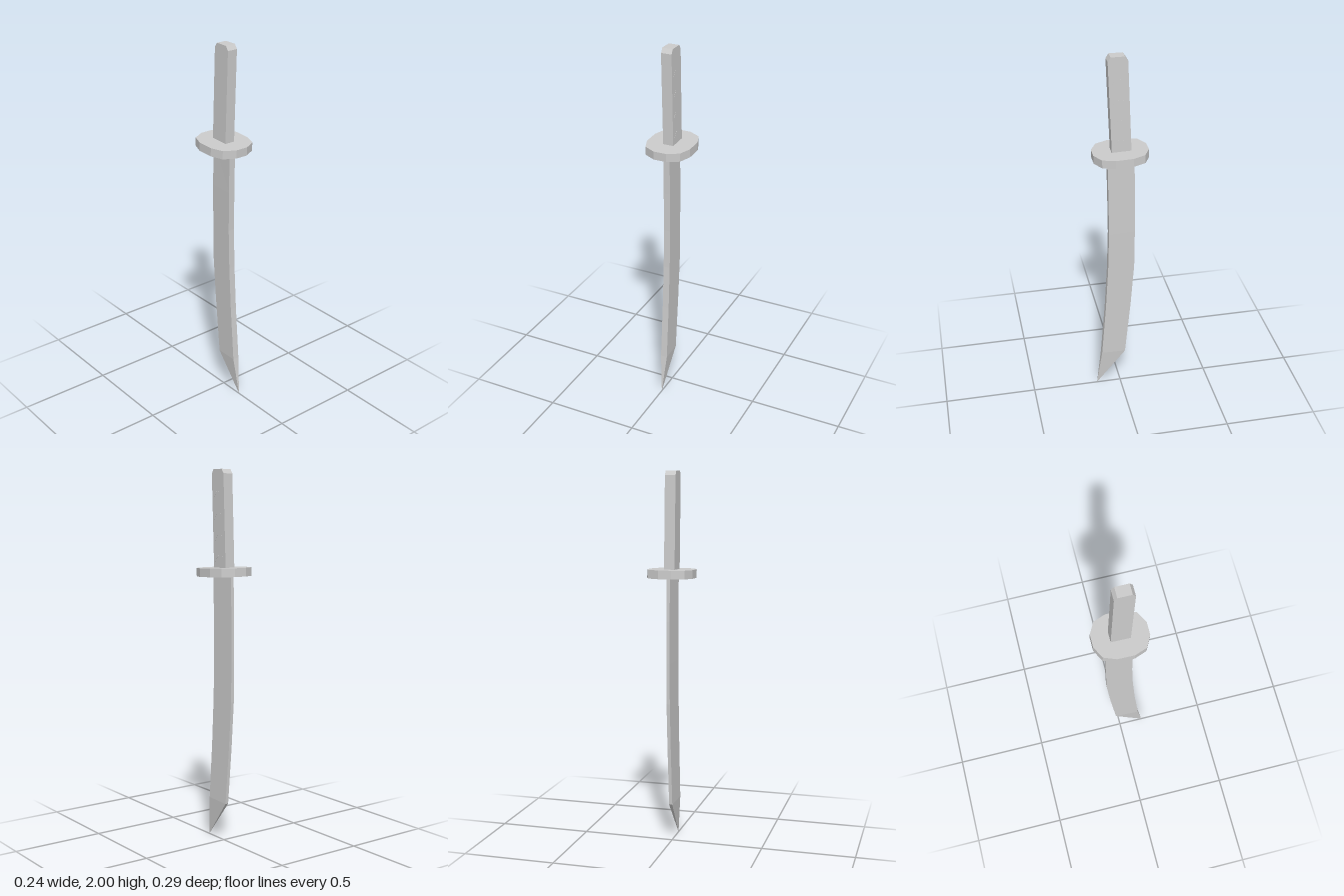
import * as THREE from 'three';

const material = new THREE.MeshStandardMaterial({ color: 0xcccccc, flatShading: true });

function part(name, geometry) {
  const mesh = new THREE.Mesh(geometry, material);
  mesh.name = name;
  return mesh;
}

// Extrude a side profile of [z, y] points across x, centred on x = 0
function sideExtrude(points, width) {
  const shape = new THREE.Shape(points.map(([z, y]) => new THREE.Vector2(z, y)));
  const geometry = new THREE.ExtrudeGeometry(shape, { depth: width, bevelEnabled: false });
  return geometry.translate(0, 0, -width / 2).rotateY(-Math.PI / 2);
}

// Loft four-cornered sections down the curved blade to a single point
function bladeGeometry() {
  const spine = 0.018, edge = 0.009; // half thickness at the front and the back
  // front z, front y, back z, back y
  const sections = [
    [0.069, 1.46, -0.073, 1.46],
    [0.065, 1.22, -0.079, 1.22],
    [0.063, 1.0, -0.079, 1.0],
    [0.069, 0.78, -0.077, 0.78],
    [0.083, 0.53, -0.058, 0.53],
    [0.107, 0.22, -0.027, 0.21],
  ];
  const rings = sections.map(([zf, yf, zb, yb]) => [
    [spine, yf, zf], [edge, yb, zb], [-edge, yb, zb], [-spine, yf, zf],
  ]);
  const tip = [0, 0, 0.136];
  const positions = [];
  const triangle = (...corners) => corners.forEach((c) => positions.push(...c));
  rings.forEach((ring, i) => {
    const next = rings[i + 1];
    for (let j = 0; j < 4; j++) {
      const k = (j + 1) % 4;
      if (next) {
        triangle(ring[j], next[j], next[k]);
        triangle(ring[j], next[k], ring[k]);
      } else {
        triangle(ring[j], tip, ring[k]);
      }
    }
  });
  const geometry = new THREE.BufferGeometry();
  geometry.setAttribute('position', new THREE.Float32BufferAttribute(positions, 3));
  geometry.computeVertexNormals();
  return geometry;
}

// Twelve-sided oval plate, mirrored from one quarter
function guardGeometry() {
  const q = [[0.122, 0.046], [0.097, 0.111], [0.035, 0.144]];
  const r = [...q].reverse();
  const outline = [
    ...q, ...r.map(([x, y]) => [-x, y]),
    ...q.map(([x, y]) => [-x, -y]), ...r.map(([x, y]) => [x, -y]),
  ];
  const shape = new THREE.Shape(outline.map(([x, y]) => new THREE.Vector2(x, y)));
  const geometry = new THREE.ExtrudeGeometry(shape, { depth: 0.045, bevelEnabled: false });
  return geometry.translate(0, 0, -0.0225).rotateX(-Math.PI / 2);
}

export function createModel() {
  const sword = new THREE.Group();
  sword.name = 'sword';

  sword.add(part('blade', bladeGeometry()));

  // Guard, tilted slightly with the curve of the blade
  const guard = part('guard', guardGeometry());
  guard.position.y = 1.467;
  guard.rotation.x = 0.035;
  sword.add(guard);

  // Handle leaning forward, with chamfered top corners
  sword.add(part('handle', sideExtrude([
    [0.047, 1.46], [-0.055, 1.46], [-0.035, 1.977],
    [-0.019, 2], [0.052, 2], [0.067, 1.977],
  ], 0.057)));

  // Shallow chevron grip marks on one side of the handle
  const grip = new THREE.Group();
  grip.name = 'gripMarks';
  for (let i = 0; i < 4; i++) {
    const mark = part('gripMark', sideExtrude([
      [0.034, -0.02], [0.012, 0.012], [-0.026, 0.004],
      [-0.026, 0.008], [0.013, 0.016], [0.034, -0.014],
    ], 0.002));
    mark.position.set(0.0283, 1.54 + i * 0.11, i * 0.004);
    grip.add(mark);
  }
  sword.add(grip);

  return sword;
}
